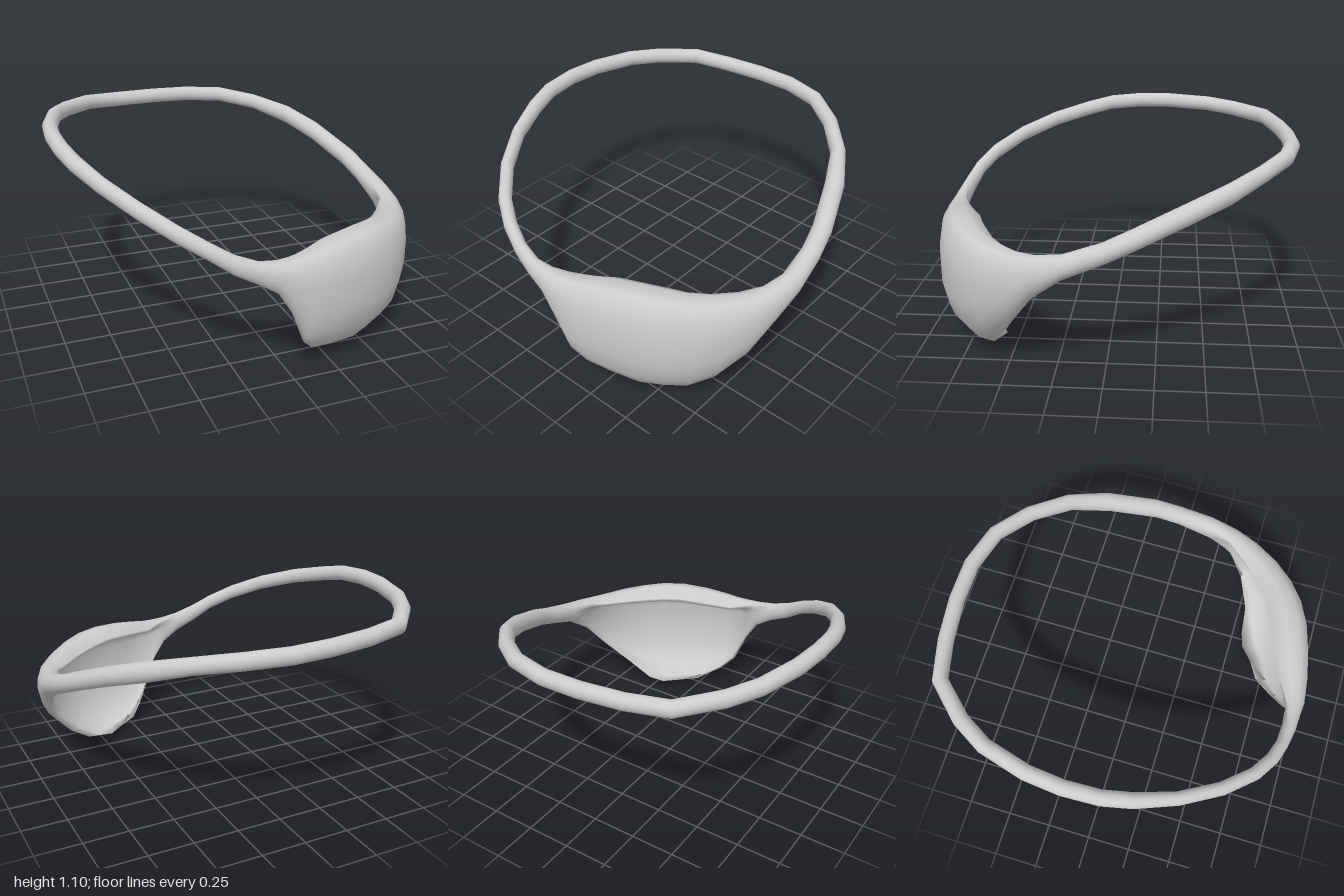
import * as THREE from 'three';

// Patch stations, left to right: outer x, outer z, top y, bottom y,
// depth of the rolled top lip, inward curl of the bottom edge, cup amount (0 = cord, 1 = cup)
const PATCH = [
  [-0.30, 0.95, 0.69, 0.585, 0.035, 0.04, 0],
  [-0.18, 0.975, 0.645, 0.525, 0.04, 0.04, 0],
  [-0.08, 0.985, 0.63, 0.46, 0.06, 0.05, 0.3],
  [0.00, 0.995, 0.628, 0.34, 0.09, 0.06, 0.7],
  [0.08, 0.993, 0.635, 0.16, 0.115, 0.09, 1],
  [0.17, 0.985, 0.65, 0.08, 0.13, 0.16, 1],
  [0.30, 0.96, 0.67, 0.025, 0.15, 0.25, 1],
  [0.46, 0.915, 0.68, 0.0, 0.155, 0.28, 1],
  [0.60, 0.85, 0.675, 0.0, 0.155, 0.31, 1],
  [0.72, 0.76, 0.66, 0.02, 0.145, 0.28, 1],
  [0.82, 0.645, 0.645, 0.11, 0.13, 0.19, 1],
  [0.905, 0.50, 0.63, 0.26, 0.11, 0.115, 0.9],
  [0.95, 0.36, 0.635, 0.42, 0.08, 0.07, 0.5],
  [0.97, 0.20, 0.655, 0.53, 0.06, 0.06, 0],
];

// Cord stations, from the right end of the patch round the back: outer x, outer z, centre y
const CORD = [
  [0.95, 0, 0.66], [0.92, -0.15, 0.72], [0.82, -0.42, 0.825], [0.70, -0.62, 0.895],
  [0.53, -0.80, 0.955], [0.33, -0.94, 0.99], [0.10, -1, 1.0], [-0.13, -1, 1.005],
  [-0.37, -0.97, 1.01], [-0.60, -0.91, 1.02], [-0.78, -0.72, 1.035], [-0.88, -0.55, 1.045],
  [-0.95, -0.30, 1.05], [-0.97, -0.10, 1.047], [-0.96, 0.10, 1.03], [-0.92, 0.26, 0.995],
  [-0.83, 0.47, 0.94], [-0.70, 0.675, 0.865], [-0.55, 0.83, 0.78], [-0.42, 0.91, 0.71],
];

// Cup section: lip factor, curl factor, height fraction, wall offset.
// Runs from the crest down the outside, then back up the inside.
const CUP = [
  [1, 0, 1, 0], [0.5, 0, 0.975, 0], [0.15, 0, 0.89, 0], [0, 0, 0.7, 0],
  [0, 0, 0.45, 0], [0, 0.11, 0.25, 0], [0, 0.38, 0.085, 0], [0, 0.7, 0, 0],
  [0, 1, 0.04, 0], [0, 0.7, 0.025, 0.005], [0, 0.38, 0.11, 0.012], [0, 0.06, 0.3, 0.018],
  [0, 0, 0.7, 0.018], [0.4, 0, 0.85, 0.02], [1.45, 0, 0.885, 0], [1.5, 0, 0.92, 0],
];
const SIDES = CUP.length;

// Point of one cross-section as [inset, y]
function sectionPoint([, , top, bottom, lip, curl, cup], j) {
  const a = (j / SIDES) * Math.PI * 2;
  const [l, c, v, offset] = CUP[j];
  const cordInset = lip * (1 - Math.sin(a));
  const cordY = (top + bottom) / 2 + ((top - bottom) / 2) * Math.cos(a);
  return [
    THREE.MathUtils.lerp(cordInset, lip * l + curl * c + offset, cup),
    THREE.MathUtils.lerp(cordY, THREE.MathUtils.lerp(bottom, top, v), cup),
  ];
}

export function createModel() {
  const group = new THREE.Group();
  group.name = 'eyePatch';

  // The cord is thicker by the patch's right end and slimmer towards its left end
  const cord = CORD.map(([x, z, y], i) => {
    const halfHeight = i < 4 ? 0.054 : 0.045;
    const halfDepth = i < 3 ? 0.053 : i > 15 ? 0.036 : 0.042;
    return [x, z, y + halfHeight, y - halfHeight, halfDepth, 0, 0];
  });
  const stations = [...PATCH, ...cord];
  const n = stations.length;

  // Closed loft: each section lies in the upright plane across the path
  const positions = [];
  stations.forEach((s, i) => {
    const prev = stations[(i + n - 1) % n];
    const next = stations[(i + 1) % n];
    const dx = next[0] - prev[0], dz = next[1] - prev[1];
    const len = Math.hypot(dx, dz);
    for (let j = 0; j < SIDES; j++) {
      const [inset, y] = sectionPoint(s, j);
      positions.push(s[0] + (dz / len) * inset, y, s[1] - (dx / len) * inset);
    }
  });

  const strip = (from, to) => {
    const index = [];
    for (let i = from; i < to; i++) {
      for (let j = 0; j < SIDES; j++) {
        const k = (j + 1) % SIDES;
        const p = (i % n) * SIDES, q = ((i + 1) % n) * SIDES;
        index.push(p + j, p + k, q + j, p + k, q + k, q + j);
      }
    }
    return index;
  };

  // Normals are shared by both parts so the cord flows smoothly into the patch
  const whole = new THREE.BufferGeometry();
  whole.setAttribute('position', new THREE.Float32BufferAttribute(positions, 3));
  whole.setIndex(strip(0, n));
  whole.computeVertexNormals();

  const material = new THREE.MeshStandardMaterial({ color: 0xcccccc, side: THREE.DoubleSide });
  const addPart = (name, from, to) => {
    const geometry = whole.clone();
    geometry.setIndex(strip(from, to));
    const mesh = new THREE.Mesh(geometry, material);
    mesh.name = name;
    group.add(mesh);
  };
  addPart('patch', 0, PATCH.length - 1);
  addPart('headCord', PATCH.length - 1, n);
  return group;
}
